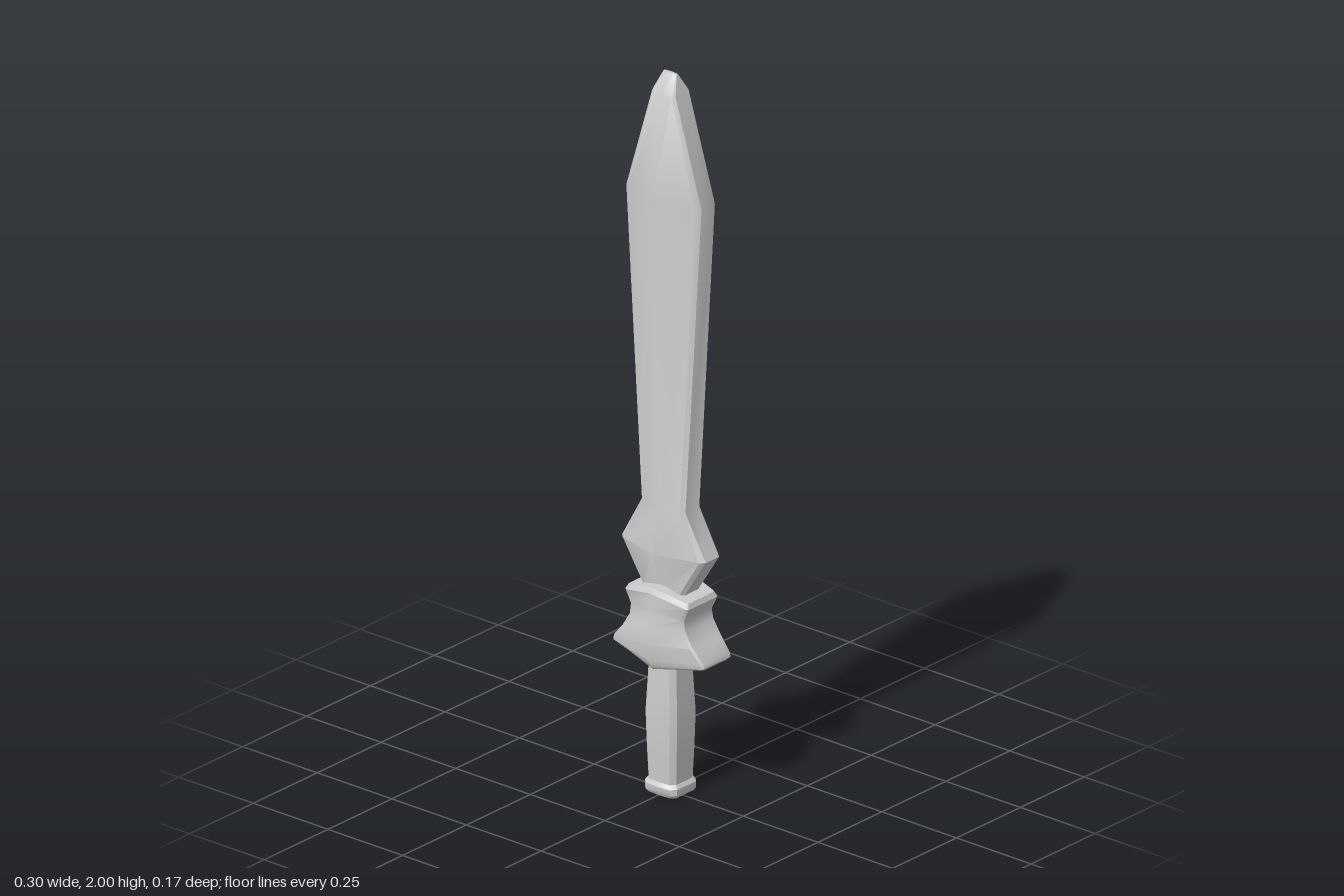
import * as THREE from 'three';
import { toCreasedNormals } from 'three/addons/utils/BufferGeometryUtils.js';

const material = new THREE.MeshStandardMaterial({ color: 0xcccccc });

// Cross-section with chamfered flat sides and a ridge on the front and back.
// w: half width, ridge: z of [front, back] ridges, side: z of [front, back] side edges,
// c: chamfer, y: height at the centre, ySide: height at the sides
function section({ w, y, ySide = y, ridge, side, c }) {
  const half = [[0, ridge[0]], [w - c, side[0]], [w, side[0] - c], [w, side[1] + c], [w - c, side[1]], [0, ridge[1]]];
  const left = half.slice(1, 5).reverse().map(([x, z]) => [-x, z]);
  return [...half, ...left].map(([x, z]) => new THREE.Vector3(x, y + (ySide - y) * Math.abs(x) / w, z));
}

// Skins a stack of sections from bottom to top and caps both ends
function loft(name, sections, crease) {
  const rings = sections.map(section);
  const n = rings[0].length;
  const pos = [];
  const tri = (...pts) => pts.forEach((p) => pos.push(p.x, p.y, p.z));
  for (let r = 0; r < rings.length - 1; r++) {
    for (let i = 0; i < n; i++) {
      const j = (i + 1) % n, a = rings[r], b = rings[r + 1];
      tri(a[i], a[j], b[j]);
      tri(a[i], b[j], b[i]);
    }
  }
  const cap = (ring, up) => {
    const mid = ring[0].clone().add(ring[5]).multiplyScalar(0.5);
    ring.forEach((p, i) => {
      const q = ring[(i + 1) % n];
      if (up) tri(mid, p, q); else tri(mid, q, p);
    });
  };
  cap(rings[0], false);
  cap(rings[rings.length - 1], true);
  const geometry = new THREE.BufferGeometry();
  geometry.setAttribute('position', new THREE.Float32BufferAttribute(pos, 3));
  const mesh = new THREE.Mesh(toCreasedNormals(geometry, crease), material);
  mesh.name = name;
  return mesh;
}

export function createModel() {
  const group = new THREE.Group();
  group.name = 'sword';
  const zc = -0.007;

  // Blade: [y, half width, half depth at ridge, half depth at side, chamfer]
  const blade = [
    [0.5, 0.055, 0.038, 0.037, 0.008],
    [0.57, 0.07, 0.038, 0.037, 0.01],
    [0.68, 0.14, 0.072, 0.038, 0.012],
    [0.8, 0.073, 0.039, 0.037, 0.01],
    [1.66, 0.126, 0.073, 0.038, 0.012],
    [1.95, 0.039, 0.038, 0.034, 0.008],
    [2.0, 0.022, 0.005, 0.004, 0.002],
  ].map(([y, w, d, s, c]) => ({ y, w, c, ridge: [zc + d, zc - d], side: [zc + s, zc - s] }));
  group.add(loft('blade', blade, 0.65));

  // Guard: [centre y, side y, half width, front ridge z, back ridge z, front side z, back side z]
  const guard = [
    [0.36, 0.386, 0.144, 0.064, -0.078, 0.036, -0.062],
    [0.37, 0.394, 0.152, 0.07, -0.086, 0.045, -0.07],
    [0.385, 0.405, 0.15, 0.076, -0.087, 0.045, -0.07],
    [0.435, 0.442, 0.118, 0.087, -0.084, 0.049, -0.073],
    [0.485, 0.482, 0.093, 0.08, -0.081, 0.05, -0.072],
    [0.525, 0.512, 0.089, 0.07, -0.08, 0.05, -0.07],
    [0.572, 0.548, 0.106, 0.072, -0.082, 0.052, -0.072],
    [0.587, 0.562, 0.1, 0.064, -0.075, 0.045, -0.064],
  ].map(([y, ySide, w, f, b, sf, sb]) => ({ y, ySide, w, c: 0.006, ridge: [f, b], side: [sf, sb] }));
  group.add(loft('guard', guard, 0.6));

  // Square handles with softened corners: [y, half width, chamfer]
  const square = ([y, w, c]) => ({ y, w, c, ridge: [zc + w, zc - w], side: [zc + w * 0.95, zc - w * 0.95] });
  group.add(loft('grip', [
    [0.025, 0.046, 0.012],
    [0.12, 0.05, 0.013],
    [0.22, 0.053, 0.014],
    [0.3, 0.049, 0.013],
    [0.4, 0.044, 0.012],
  ].map(square), 0.7));
  group.add(loft('pommel', [
    [0, 0.048, 0.012],
    [0.009, 0.054, 0.014],
    [0.026, 0.054, 0.014],
    [0.036, 0.047, 0.012],
  ].map(square), 0.6));

  return group;
}
